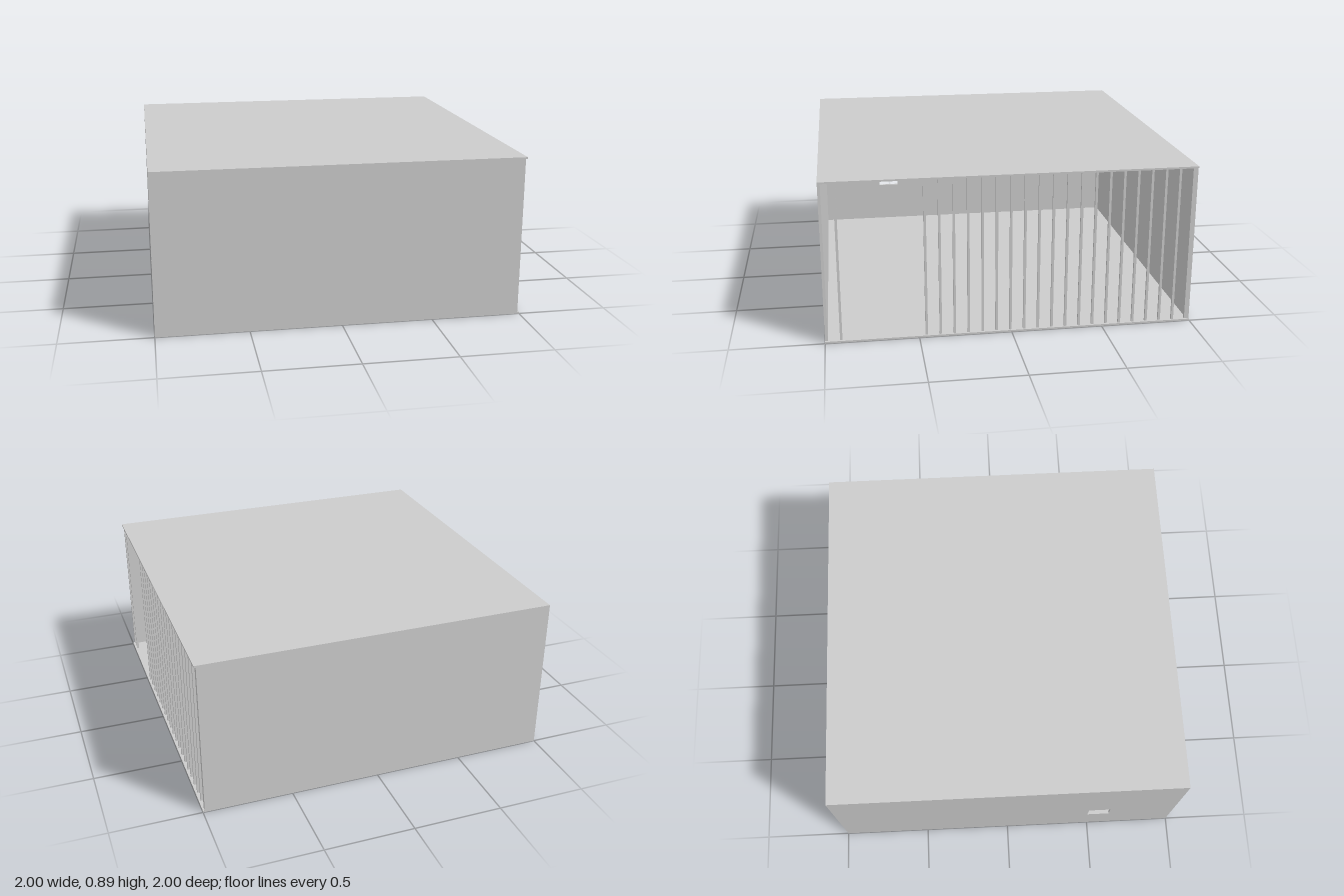
import * as THREE from 'three';

export function createModel() {
  const group = new THREE.Group();
  const material = new THREE.MeshStandardMaterial({ color: 0xcccccc, flatShading: true });

  const height = 0.89, slab = 0.01, wall = 0.015;
  const wallHeight = height - 2 * slab;
  const openSide = 0.99; // walls and bars stop just short of the slab edge

  function addBox(name, w, h, d, x, y, z) {
    const mesh = new THREE.Mesh(new THREE.BoxGeometry(w, h, d), material);
    mesh.name = name;
    mesh.position.set(x, y, z);
    group.add(mesh);
  }

  // Floor and roof slabs
  addBox('floor', 2, slab, 2, 0, slab / 2, 0);
  addBox('roof', 2, slab, 2, 0, height - slab / 2, 0);

  // Front and back walls
  const length = 1 + openSide;
  for (const [name, side] of [['frontWall', 1], ['backWall', -1]]) {
    addBox(name, length, wallHeight, wall, -1 + length / 2, height / 2, side * (1 - wall / 2));
  }

  // Side wall with a small square window; shape x becomes z
  const halfDepth = 1 - wall;
  const outline = new THREE.Shape();
  outline.moveTo(-halfDepth, slab);
  outline.lineTo(halfDepth, slab);
  outline.lineTo(halfDepth, height - slab);
  outline.lineTo(-halfDepth, height - slab);
  outline.closePath();
  const opening = new THREE.Path();
  opening.moveTo(0.485, 0.255);
  opening.lineTo(0.485, 0.375);
  opening.lineTo(0.613, 0.375);
  opening.lineTo(0.613, 0.255);
  opening.closePath();
  outline.holes.push(opening);
  const sideGeometry = new THREE.ExtrudeGeometry(outline, { depth: wall, bevelEnabled: false });
  sideGeometry.rotateY(-Math.PI / 2); // shape x -> +z, depth -> -x
  const sideWall = new THREE.Mesh(sideGeometry, material);
  sideWall.name = 'windowWall';
  sideWall.position.x = -1 + wall;
  group.add(sideWall);

  // Row of bars along the open side, leaving a doorway after the first
  const bar = 0.013, spacing = 0.0758;
  for (let i = 0; i <= 25; i++) {
    if (i > 0 && i < 6) continue;
    addBox('bar', bar, wallHeight, bar, openSide - bar / 2, height / 2, 0.915 - i * spacing);
  }

  return group;
}
